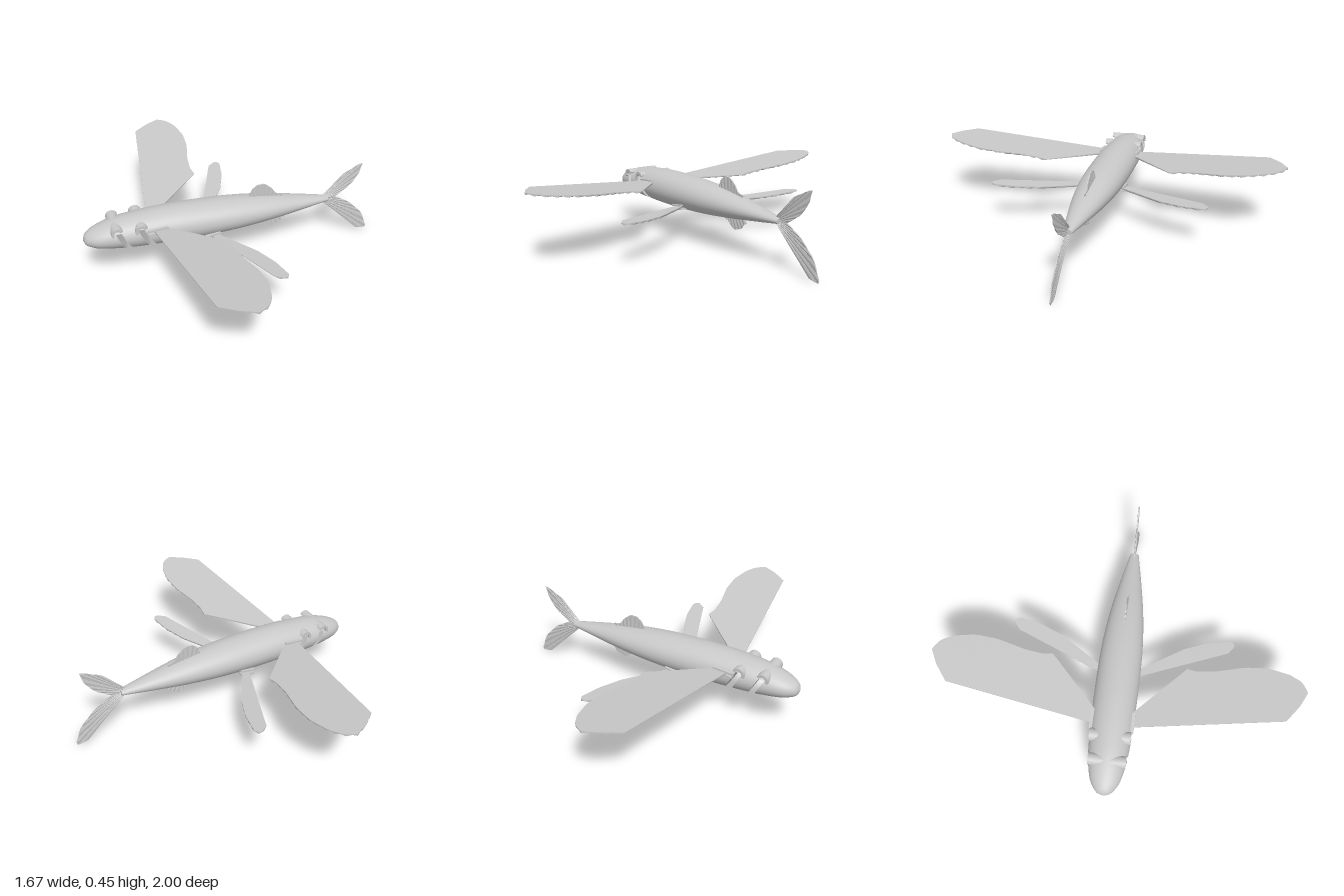
import * as THREE from 'three';

const grey = new THREE.MeshStandardMaterial({ color: 0xc8c8c8 });
grey.name = 'light grey';
const greyThin = grey.clone();
greyThin.side = THREE.DoubleSide;

// body stations: x, top y, bottom y, half width
const STATIONS = [
  [-0.84, 0.262, 0.258, 0.002], [-0.832, 0.286, 0.237, 0.03], [-0.81, 0.306, 0.224, 0.053],
  [-0.77, 0.325, 0.211, 0.077], [-0.69, 0.35, 0.199, 0.097], [-0.6, 0.365, 0.19, 0.108],
  [-0.4, 0.378, 0.181, 0.116], [-0.2, 0.376, 0.18, 0.118], [0, 0.365, 0.187, 0.112],
  [0.2, 0.341, 0.203, 0.091], [0.4, 0.305, 0.225, 0.056], [0.56, 0.274, 0.244, 0.024],
];
const SLANT = 0.52;
const SLOTS = [[-0.6485, -0.6155], [-0.527, -0.489]];

// cubic interpolation through one column of the stations
function sample(x, col) {
  const S = STATIONS, last = S.length - 1;
  x = THREE.MathUtils.clamp(x, S[0][0], S[last][0]);
  let i = 0;
  while (i < last - 1 && x > S[i + 1][0]) i++;
  const slope = (k) => {
    const a = S[Math.max(k - 1, 0)], b = S[Math.min(k + 1, last)];
    return (b[col] - a[col]) / (b[0] - a[0]);
  };
  const w = S[i + 1][0] - S[i][0], t = (x - S[i][0]) / w, t2 = t * t, t3 = t2 * t;
  return (2 * t3 - 3 * t2 + 1) * S[i][col] + (t3 - 2 * t2 + t) * w * slope(i)
    + (3 * t2 - 2 * t3) * S[i + 1][col] + (t3 - t2) * w * slope(i + 1);
}

// body point on a ring that leans with the gill slots near the head
function bodyPoint(s, angle) {
  const k = SLANT * THREE.MathUtils.smoothstep(s, -0.84, -0.68)
    * (1 - THREE.MathUtils.smoothstep(s, -0.4, 0.1));
  let x = s, y = 0.26;
  for (let n = 0; n < 12; n++) {
    const top = sample(x, 1), bot = sample(x, 2);
    y = (top + bot) / 2 + (top - bot) / 2 * Math.sin(angle);
    x = s - k * (y - 0.26);
  }
  return [x, y, sample(x, 3) * Math.cos(angle)];
}

function geometry(pos, index, flat) {
  let g = new THREE.BufferGeometry();
  g.setAttribute('position', new THREE.Float32BufferAttribute(pos, 3));
  g.setIndex(index);
  if (flat) g = g.toNonIndexed();
  g.computeVertexNormals();
  return g;
}

function addMesh(parent, name, geo, mat = grey) {
  const m = new THREE.Mesh(geo, mat);
  m.name = name;
  parent.add(m);
  return m;
}

function buildBody(group) {
  const M = 72, KEEP = 24; // the first 24 segments lie above the slots
  const rings = [-0.84, -0.838, -0.835, -0.83, -0.823, -0.815, -0.8, -0.78, -0.75, -0.72, -0.685,
    ...SLOTS[0], -0.59, -0.56, ...SLOTS[1]];
  for (let i = 1; i <= 34; i++) rings.push(-0.489 + 1.049 * i / 34);
  const pos = [], index = [], wallIndex = [];
  for (const s of rings)
    for (let j = 0; j < M; j++) pos.push(...bodyPoint(s, Math.PI / 6 + j / M * Math.PI * 2));
  for (let i = 0; i < rings.length - 1; i++) {
    const cut = SLOTS.some((p) => p[0] === rings[i]);
    for (let j = 0; j < (cut ? KEEP : M); j++) {
      const a = i * M + j, d = i * M + (j + 1) % M;
      index.push(a, a + M, d + M, a, d + M, d);
    }
    if (!cut) continue;
    // slot walls and ceiling
    for (const r of [i * M, (i + 1) * M])
      for (let j = KEEP + 1; j < M; j++) wallIndex.push(r + KEEP, r + j, r + (j + 1) % M);
    const a = i * M, b = a + KEEP;
    wallIndex.push(a, b, b + M, a, b + M, a + M);
  }
  const end = (rings.length - 1) * M;
  for (let j = 1; j < M - 1; j++) wallIndex.push(end, end + j, end + j + 1); // tail stub
  addMesh(group, 'body', geometry(pos, index, false));
  addMesh(group, 'gillSlotWalls', geometry(pos, wallIndex, true), greyThin);
}

const path = (pts) => {
  const p = new THREE.Path();
  pts.forEach(([a, b], i) => (i ? p.lineTo(a, b) : p.moveTo(a, b)));
  return p;
};

// fan-shaped fin from a root line to an outer edge; each sheet maps (a, b, ridge) to space
function finGeometry(root, edge, pleats, sheets) {
  const n = pleats * 2, pos = [], index = [];
  const inner = path(root).getSpacedPoints(n), outer = path(edge).getSpacedPoints(n);
  const W = n + 1;
  sheets.forEach((map, k) => {
    const base = k * 2 * W;
    for (const row of [inner, outer])
      row.forEach((p, i) => pos.push(...map(p.x, p.y, i % 2)));
    for (let i = 0; i < n; i++) {
      const a = base + i;
      index.push(a, a + 1, a + 1 + W, a, a + 1 + W, a + W);
    }
  });
  // close the rim between the two sheets
  for (let i = 0; i < n; i++) {
    const a = W + i, b = 3 * W + i;
    index.push(a, a + 1, b + 1, a, b + 1, b);
  }
  for (const i of [0, n]) index.push(i, i + W, i + 3 * W, i, i + 3 * W, i + 2 * W);
  return geometry(pos, index, true);
}

// side fins: smooth above, ribbed below
const sideFin = (root, edge, pleats, y0, rise, side) => finGeometry(root, edge, pleats, [
  (x, z) => [x, y0 + rise * z, side * z],
  (x, z, r) => [x, y0 + rise * z - (r ? 0.012 : 0.004), side * z],
]);
// upright fins: ribbed on both faces
const uprightFin = (root, edge, pleats) => finGeometry(root, edge, pleats, [
  (x, y, r) => [x, y, r ? 0.004 : 0.001],
  (x, y, r) => [x, y, r ? -0.004 : -0.001],
]);

export function createModel() {
  const model = new THREE.Group();
  model.name = 'flyingFish';
  buildBody(model);

  // curved caps across the tops of the gill slots
  [[-0.668, 0.32, 0.033, 0.1], [-0.54, 0.32, 0.035, 0.11]].forEach(([x, y, r, half]) => {
    const lean = Math.atan(SLANT), s = new THREE.Shape();
    s.absarc(0, 0, r, lean, lean + Math.PI, false);
    s.absarc(0, 0, r * 0.55, lean + Math.PI, lean, true);
    const g = new THREE.ExtrudeGeometry(s, { depth: half * 2, bevelEnabled: false, curveSegments: 16 });
    g.translate(x, y, -half);
    addMesh(model, 'gillCap', g);
  });

  for (const side of [1, -1]) {
    const label = side > 0 ? 'left' : 'right';
    // wing-like front fins
    addMesh(model, label + 'WingFin', sideFin(
      [[-0.48, 0.09], [-0.41, 0.09]],
      [[-0.37, 0.895], [-0.285, 0.96], [-0.205, 1], [-0.15, 0.965], [-0.115, 0.9], [-0.09, 0.79],
        [-0.095, 0.67], [-0.13, 0.52], [-0.14, 0.42], [-0.13, 0.365]],
      16, 0.302, 0.112, side), greyThin);
    // smaller rear fins
    addMesh(model, label + 'PelvicFin', sideFin(
      [[-0.175, 0.08], [-0.14, 0.08]],
      [[0.02, 0.587], [0.07, 0.625], [0.095, 0.6], [0.07, 0.47], [0.02, 0.34]],
      7, 0.21, 0.068, side), greyThin);
    // root brackets
    for (const y of [0.298, 0.32]) {
      const b = addMesh(model, label + 'WingBracket', new THREE.BoxGeometry(0.11, 0.009, 0.03));
      b.position.set(-0.455, y, side * 0.103);
      b.rotation.z = 0.08;
    }
    for (const y of [0.2, 0.222]) {
      const b = addMesh(model, label + 'PelvicBracket', new THREE.BoxGeometry(0.085, 0.009, 0.05));
      b.position.set(-0.155, y, side * 0.09);
      b.rotation.z = 0.15;
    }
  }

  // fins in the middle plane
  addMesh(model, 'dorsalFin', uprightFin([[0.09, 0.34], [0.27, 0.32]],
    [[0.085, 0.355], [0.1, 0.395], [0.13, 0.42], [0.175, 0.422], [0.22, 0.385], [0.245, 0.347], [0.287, 0.34]],
    8), greyThin);
  addMesh(model, 'analFin', uprightFin([[0.11, 0.21], [0.28, 0.225]],
    [[0.12, 0.198], [0.165, 0.18], [0.19, 0.155], [0.22, 0.14], [0.275, 0.158], [0.285, 0.18], [0.315, 0.195]],
    8), greyThin);
  addMesh(model, 'upperTailFin', uprightFin([[0.53, 0.278], [0.55, 0.252]],
    [[0.65, 0.4], [0.77, 0.458], [0.75, 0.385], [0.7, 0.318], [0.615, 0.262]], 7), greyThin);
  addMesh(model, 'lowerTailFin', uprightFin([[0.53, 0.243], [0.55, 0.265]],
    [[0.765, 0.014], [0.838, 0], [0.795, 0.115], [0.705, 0.205], [0.605, 0.262]], 7), greyThin);

  return model;
}
